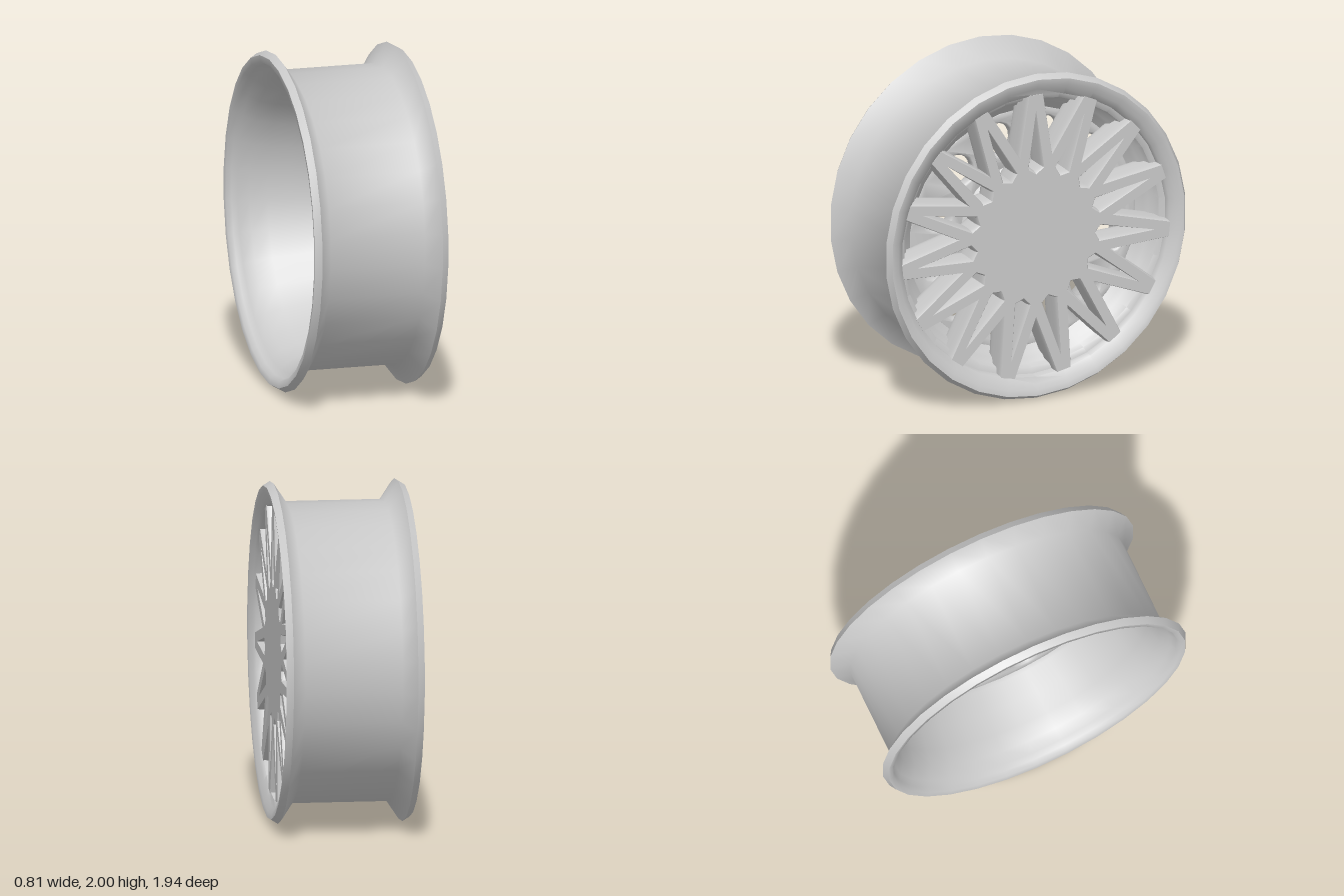
import * as THREE from 'three';
import { toCreasedNormals } from 'three/addons/utils/BufferGeometryUtils.js';

const SPOKES = 15; // spoke pairs
const VENTS = 12;
const material = new THREE.MeshStandardMaterial({ color: 0xcccccc, side: THREE.DoubleSide });

// point at radius r, angle a from straight up
const polar = (r, a) => new THREE.Vector2(r * Math.sin(a), r * Math.cos(a));

function part(name, geometry, crease) {
  const mesh = new THREE.Mesh(toCreasedNormals(geometry, crease), material);
  mesh.name = name;
  return mesh;
}

// revolve [radius, x] pairs around the x axis
function revolve(profile) {
  const points = profile.map(([r, x]) => new THREE.Vector2(r, x));
  return new THREE.LatheGeometry(points, 30, Math.PI / 2).rotateZ(-Math.PI / 2);
}

// extrude a flat shape along x, with the back of its body at x
function extrudeX(shape, x, depth, bevelThickness, bevelSize) {
  const g = new THREE.ExtrudeGeometry(shape, {
    depth, bevelEnabled: true, bevelThickness, bevelSize, bevelSegments: 3, curveSegments: 30,
  });
  return g.rotateY(Math.PI / 2).translate(x, 0, 0);
}

// rim: outer barrel, two flared lips, stepped front and flared back bowl
function makeRim() {
  const g = revolve([
    [0.935, -0.4], [0.975, -0.405], [1, -0.365], [0.88, -0.285],
    [0.88, 0.285], [1, 0.365], [0.975, 0.405], [0.94, 0.4],
    [0.91, 0.38], [0.87, 0.365], [0.865, 0.32], [0.83, 0.31], [0.82, 0.26],
    [0.79, 0.25], [0.775, 0.21], [0.735, 0.19], [0.72, 0.15],
    [0.735, 0.08], [0.78, -0.05], [0.81, -0.18], [0.84, -0.28], [0.89, -0.34], [0.92, -0.37], [0.935, -0.4],
  ]);
  // the lips are slightly narrower front to back than they are tall
  const p = g.attributes.position;
  for (let i = 0; i < p.count; i++) {
    const r = Math.hypot(p.getY(i), p.getZ(i));
    const k = THREE.MathUtils.clamp((r - 0.88) / 0.1, 0, 1);
    p.setZ(i, p.getZ(i) * (1 - 0.024 * k));
  }
  return part('rim', g, 1.1);
}

// flat hub face with paired spokes meeting at the rim
function makeSpokes() {
  const step = (Math.PI * 2) / SPOKES;
  const outline = [];
  const slits = [];
  for (let i = 0; i < SPOKES; i++) {
    const a = i * step;
    outline.push(polar(0.875, a - 0.05), polar(0.875, a + 0.05), polar(0.5, a + step / 2));
    slits.push(new THREE.Path([
      polar(0.38, a), polar(0.42, a + 0.125), polar(0.775, a), polar(0.42, a - 0.125),
    ]));
  }
  const shape = new THREE.Shape(outline);
  shape.holes = slits;
  const g = extrudeX(shape, 0.26, 0.05, 0.06, 0.012);
  // keep the spoke ends inside the barrel
  const p = g.attributes.position;
  for (let i = 0; i < p.count; i++) {
    const k = Math.min(1, 0.872 / Math.hypot(p.getY(i), p.getZ(i)));
    p.setXYZ(i, p.getX(i), p.getY(i) * k, p.getZ(i) * k);
  }
  return part('spokes', g, 0.8);
}

// ventilated disc behind the spokes, with a web at the top and bottom
function makeVentDisc() {
  const shape = new THREE.Shape().absarc(0, 0, 0.73, 0, Math.PI * 2);
  shape.holes.push(new THREE.Path().absarc(0, 0, 0.39, 0, Math.PI * 2));
  for (let i = 0; i < VENTS; i++) {
    const a = ((i + 0.5) * Math.PI * 2) / VENTS;
    const c = polar(0.58, a);
    const vent = new THREE.EllipseCurve(c.x, c.y, 0.105, 0.115, 0, Math.PI * 2, false, -a);
    shape.holes.push(new THREE.Path(vent.getPoints(16).slice(0, -1)));
  }
  return part('ventDisc', extrudeX(shape, 0.14, 0.015, 0.035, 0.018), 1);
}

// hub: raised mounting ring at the back with a sunken centre
function makeHub() {
  return part('hub', revolve([
    [0, 0.14], [0.2, 0.14], [0.22, 0.08], [0.25, 0.06], [0.38, 0.07],
    [0.42, 0.1], [0.43, 0.15], [0.4, 0.2], [0.37, 0.22], [0.36, 0.3],
  ]), 0.8);
}

export function createModel() {
  const wheel = new THREE.Group();
  wheel.name = 'wheel';
  wheel.add(makeRim(), makeSpokes(), makeVentDisc(), makeHub());
  wheel.position.y = 1;
  const model = new THREE.Group();
  model.add(wheel);
  return model;
}
